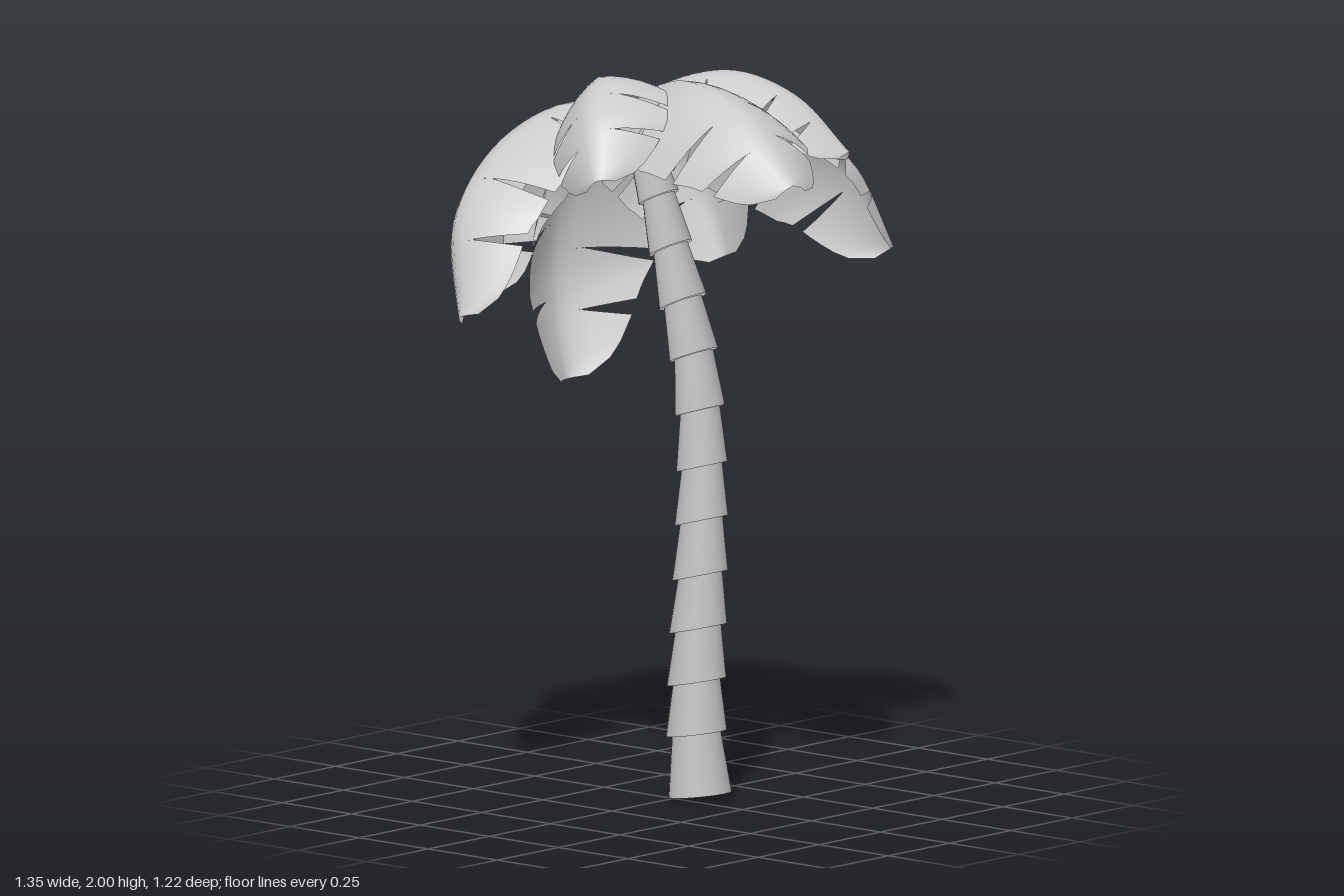
import * as THREE from 'three';
import { mergeVertices } from 'three/addons/utils/BufferGeometryUtils.js';

const material = new THREE.MeshStandardMaterial({ color: 0xcccccc, side: THREE.DoubleSide });
const V = (a) => new THREE.Vector3(...a);
const CROWN = [0.05, 1.87, -0.22];
// The crown leans back with the top of the trunk
const CROWN_UP = new THREE.Vector3(0, 1, -0.5).normalize();

// Trunk rings from the ground up: x, y, z, radius, tilt of the ring plane
const RINGS = [
  [0.05, 0.012, 0.053, 0.086, 0.13], [0.047, 0.18, 0.042, 0.083, 0.16],
  [0.035, 0.325, 0.053, 0.081, 0.2], [0.022, 0.475, 0.07, 0.079, 0.24],
  [0.01, 0.625, 0.088, 0.076, 0.26], [-0.003, 0.78, 0.104, 0.073, 0.27],
  [-0.01, 0.93, 0.112, 0.07, 0.28], [-0.015, 1.085, 0.11, 0.068, 0.32],
  [-0.012, 1.235, 0.085, 0.066, 0.4], [-0.008, 1.375, 0.042, 0.064, 0.48],
  [0.003, 1.515, -0.012, 0.058, 0.5], [0.02, 1.645, -0.07, 0.054, 0.5],
  [0.032, 1.765, -0.13, 0.05, 0.5], [0.045, 1.86, -0.19, 0.045, 0.5],
];

// Fronds: half width, then midrib points after the crown
const FRONDS = {
  frontFrond: [0.235, [0, 1.96, -0.05], [-0.08, 2, 0.15], [-0.15, 1.94, 0.4], [-0.2, 1.79, 0.61]],
  frontLeftFrond: [0.18, [0.11, 1.96, -0.08], [0.18, 1.99, 0.07], [0.24, 1.93, 0.24], [0.28, 1.79, 0.39]],
  leftFrond: [0.24, [0.22, 1.9, -0.18], [0.44, 1.83, -0.04], [0.6, 1.68, 0.1], [0.67, 1.45, 0.2]],
  backLeftFrond: [0.2, [0.18, 1.88, -0.32], [0.35, 1.81, -0.38], [0.48, 1.64, -0.36], [0.515, 1.39, -0.27]],
  backFrond: [0.235, [0.11, 1.86, -0.36], [0.18, 1.7, -0.52], [0.21, 1.37, -0.61], [0.2, 1.06, -0.56]],
  backRightFrond: [0.23, [-0.02, 1.87, -0.34], [-0.13, 1.78, -0.47], [-0.2, 1.61, -0.54], [-0.21, 1.36, -0.5]],
  rightFrond: [0.22, [-0.12, 1.9, -0.28], [-0.35, 1.82, -0.32], [-0.57, 1.65, -0.28], [-0.68, 1.4, -0.17]],
  frontRightFrond: [0.21, [-0.06, 1.96, -0.17], [-0.2, 2, -0.1], [-0.36, 1.94, 0.02], [-0.46, 1.78, 0.13]],
};

// Relative half width along a frond
const OUTLINE = [[0, 0.06], [0.14, 0.6], [0.32, 0.94], [0.52, 1], [0.72, 0.9], [0.88, 0.66], [0.96, 0.47], [1, 0.2]];
function outline(s) {
  const i = Math.max(1, OUTLINE.findIndex((p) => p[0] >= s));
  const [a, b] = [OUTLINE[i - 1], OUTLINE[i]];
  return THREE.MathUtils.mapLinear(s, a[0], b[0], a[1], b[1]);
}

// One flared, tilted trunk section between two rings
function trunkSection(a, b) {
  const geo = new THREE.CylinderGeometry(b[3] * 0.8, a[3], 1, 20, 1, true);
  const p = geo.attributes.position;
  for (let i = 0; i < p.count; i++) {
    const t = p.getY(i) + 0.5;
    const mix = (k) => THREE.MathUtils.lerp(a[k], b[k], t);
    const z = p.getZ(i);
    p.setXYZ(i, mix(0) + p.getX(i), mix(1) + z * mix(4), mix(2) + z);
  }
  return new THREE.Mesh(geo, material);
}

// An arched frond: lobes joined near the midrib, with wedge notches at the rim
function frondBlade(curve, halfWidth) {
  const COLS = 24, ROWS = 6, GAP = 0.04;
  const positions = [], index = [];
  const heading = curve.getPointAt(1).sub(curve.getPointAt(0));
  const across = heading.cross(CROWN_UP).normalize();
  const point = (s, u, side) => {
    const normal = across.clone().cross(curve.getTangentAt(s)).normalize();
    const w = halfWidth * outline(s);
    return curve.getPointAt(s)
      .addScaledVector(across, side * w * u)
      .addScaledVector(normal, -w * (0.25 * u + 0.5 * u * u));
  };
  // Columns where the lobes of each side begin and end
  for (const [side, splits] of [[1, [0, 9, 16, 20, 24]], [-1, [0, 7, 14, 19, 24]]]) {
    for (let k = 0; k < splits.length - 1; k++) {
      const base = positions.length / 3;
      const [start, end] = [splits[k], splits[k + 1]];
      for (let c = start; c <= end; c++) {
        for (let r = 0; r <= ROWS; r++) {
          const u = r / ROWS;
          const open = k > 0 ? GAP * Math.max(0, (u - 0.33) / 0.67) : 0;
          const s = c / COLS + open * (end - c) / (end - start);
          positions.push(...point(s, u, side).toArray());
          if (c === end || r === ROWS) continue;
          const a = base + (c - start) * (ROWS + 1) + r, b = a + ROWS + 1;
          if (side > 0) index.push(a, a + 1, b, b, a + 1, b + 1);
          else index.push(a, b, a + 1, b, b + 1, a + 1);
        }
      }
    }
  }
  let geo = new THREE.BufferGeometry();
  geo.setAttribute('position', new THREE.Float32BufferAttribute(positions, 3));
  geo.setIndex(index);
  geo = mergeVertices(geo, 1e-5);
  geo.computeVertexNormals();
  return new THREE.Mesh(geo, material);
}

export function createModel() {
  const model = new THREE.Group();
  model.name = 'palmTree';

  const trunk = new THREE.Group();
  trunk.name = 'trunk';
  for (let i = 0; i < RINGS.length - 1; i++) {
    const section = trunkSection(RINGS[i], RINGS[i + 1]);
    section.name = `trunkSection${i + 1}`;
    trunk.add(section);
  }
  model.add(trunk);

  for (const [name, [halfWidth, ...points]] of Object.entries(FRONDS)) {
    const curve = new THREE.CatmullRomCurve3([CROWN, ...points].map(V));
    const frond = frondBlade(curve, halfWidth);
    frond.name = name;
    model.add(frond);
  }
  return model;
}
